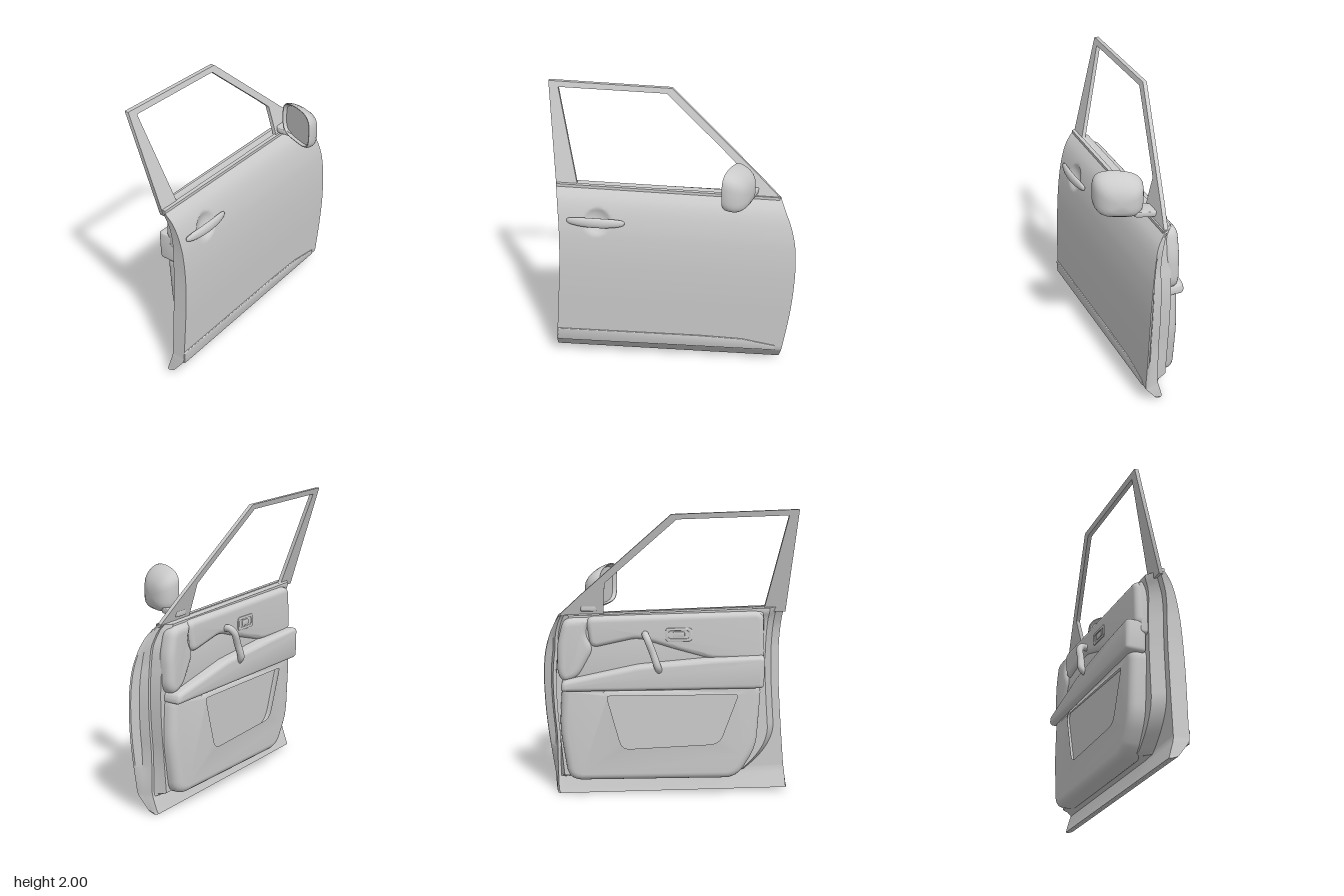
import * as THREE from 'three';
import { toCreasedNormals } from 'three/addons/utils/BufferGeometryUtils.js';

const grey = new THREE.MeshStandardMaterial({ color: 0xcccccc, side: THREE.DoubleSide });

function add(group, name, geometry, crease = 0.6) {
  const mesh = new THREE.Mesh(crease ? toCreasedNormals(geometry, crease) : geometry, grey);
  mesh.name = name;
  group.add(mesh);
  return mesh;
}

// Closed skin over equal-length rings, capped at both ends
function loft(rings) {
  const n = rings[0].length, pos = rings.flat(2), idx = [];
  for (let j = 0; j < rings.length - 1; j++) {
    for (let i = 0; i < n; i++) {
      const a = j * n + i, b = j * n + (i + 1) % n;
      idx.push(a, b, b + n, a, b + n, a + n);
    }
  }
  [0, rings.length - 1].forEach((j) => {
    const c = pos.length / 3;
    pos.push(...[0, 1, 2].map((k) => rings[j].reduce((s, p) => s + p[k], 0) / n));
    for (let i = 0; i < n; i++) {
      const a = j * n + i, b = j * n + (i + 1) % n;
      j ? idx.push(c, a, b) : idx.push(c, b, a);
    }
  });
  const g = new THREE.BufferGeometry();
  g.setAttribute('position', new THREE.Float32BufferAttribute(pos, 3));
  g.setIndex(idx);
  return g;
}

// Polygon with rounded corners
function rounded(pts, r, Type = THREE.Shape) {
  const s = new Type(), n = pts.length;
  pts.forEach((p, i) => {
    const P = new THREE.Vector2(...p);
    const toward = (q) => {
      const d = new THREE.Vector2(...q).sub(P);
      return P.clone().add(d.setLength(Math.min(r, d.length() * 0.45)));
    };
    const a = toward(pts[(i + n - 1) % n]), b = toward(pts[(i + 1) % n]);
    i ? s.lineTo(a.x, a.y) : s.moveTo(a.x, a.y);
    s.quadraticCurveTo(P.x, P.y, b.x, b.y);
  });
  s.closePath();
  return s;
}

// Bevelled slab between two depths, with an optional hole and z rule
function slab(pts, { r = 0.03, z0, z1, bevel = 0, hole, holeR = 0.06, warp }) {
  const shape = rounded(pts, r);
  if (hole) shape.holes.push(rounded(hole, holeR, THREE.Path));
  const g = new THREE.ExtrudeGeometry(shape, {
    depth: z1 - z0 - 2 * bevel, bevelEnabled: bevel > 0, bevelThickness: bevel,
    bevelSize: bevel, bevelOffset: -bevel, bevelSegments: 5, curveSegments: 6,
  });
  g.translate(0, 0, z0 + bevel);
  if (warp) {
    const p = g.attributes.position;
    for (let i = 0; i < p.count; i++) p.setZ(i, p.getZ(i) + warp(p.getX(i), p.getY(i)));
  }
  return g;
}

// Door section by height: y, outer z, rim z, inner z, rear x, front x
const SECTIONS = [
  [0.013, -0.04, -0.06, -0.06, -0.845, 0.765], [0.03, 0, -0.055, -0.055, -0.843, 0.772],
  [0.13, 0.077, -0.025, -0.03, -0.835, 0.785], [0.16, 0.083, -0.02, -0.1, -0.83, 0.79],
  [0.4, 0.088, -0.02, -0.1, -0.81, 0.825], [0.6, 0.09, -0.02, -0.1, -0.795, 0.845],
  [0.8, 0.085, -0.02, -0.1, -0.783, 0.853], [0.95, 0.073, -0.02, -0.1, -0.78, 0.847],
  [1.05, 0.058, -0.02, -0.1, -0.781, 0.832], [1.15, 0.033, -0.03, -0.1, -0.787, 0.803],
  [1.22, 0.004, -0.05, -0.11, -0.793, 0.772], [1.27, -0.032, -0.07, -0.13, -0.8, 0.75],
  [1.3, -0.06, -0.09, -0.13, -0.803, 0.735],
];

// Section between rows: straight along the sill, curved above it
function section(k, t) {
  const last = SECTIONS.length - 1;
  const b = SECTIONS[k], c = SECTIONS[Math.min(k + 1, last)];
  if (k < 3) return b.map((v, i) => v + (c[i] - v) * t);
  const a = SECTIONS[Math.max(k - 1, 3)], d = SECTIONS[Math.min(k + 2, last)];
  return b.map((v, i) => v + 0.5 * t * (c[i] - a[i]
    + t * (2 * a[i] - 5 * v + 4 * c[i] - d[i] + t * (3 * (v - c[i]) + d[i] - a[i]))));
}

function doorShell() {
  const rings = [], N = 100;
  SECTIONS.forEach((s, k) => {
    const next = SECTIONS[k + 1];
    const steps = next ? Math.ceil((next[0] - s[0]) / 0.016) : 1;
    for (let m = 0; m < steps; m++) {
      const [y, zo, zr, zi, xl, xr] = section(k, m / steps);
      const put = (x, z) => [x, y - (0.016 + 0.013 * y) * x, z];
      const ring = [];
      for (let i = 0; i <= N; i++) {
        const p = put(xl + (xr - xl) * i / N, zo);
        // finger scoop behind the outer handle
        const d = Math.hypot(p[0] + 0.515, p[1] - 1.095) / 0.095;
        if (d < 1) p[2] -= 0.038 * (1 - d * d);
        ring.push(p);
      }
      // the front edge is a thin lip ahead of the recessed hinge face
      const lip = 0.05 * THREE.MathUtils.smoothstep(y, 0.02, 0.5) * (1 - THREE.MathUtils.smoothstep(y, 1, 1.28));
      const mid = zo + (zr - zo) * 0.4;
      ring.push(put(xr - 0.004, zo + (zr - zo) * 0.12), put(xr - 0.004 - lip, mid));
      ring.push(put(xr - 0.02 - lip, zr), put(xr - 0.04 - lip, zr), put(xr - 0.075 - lip * 0.4, zi));
      // the inner step sweeps forward at the lower rear corner
      const inset = 0.11 + 0.25 * Math.max(0, 1 - (y - 0.13) / 0.35) ** 2;
      ring.push(put(xl + inset, zi), put(xl + inset - 0.05, zr), put(xl + 0.008, zr));
      rings.push(ring);
    }
  });
  return loft(rings);
}

function mirrorHousing() {
  const t = [0.37, -0.93], n = [0.93, 0.37];
  const soft = (v) => Math.sign(v) * Math.abs(v) ** 0.55;
  // forward depth and scale, from the recessed glass to the nose
  const profile = [[0.025, 0.01], [0.025, 0.86], [0, 0.93], [0, 0.97], [0.015, 1], [0.045, 0.98],
    [0.075, 0.92], [0.1, 0.81], [0.12, 0.65], [0.135, 0.42], [0.14, 0.02]];
  return loft(profile.map(([d, s]) => Array.from({ length: 48 }, (_, i) => {
    const a = i / 48 * Math.PI * 2, u = soft(Math.cos(a)) * 0.165 * s + 0.18 * d;
    // the roof drops slightly toward the door
    const h = soft(Math.sin(a)) * 0.14 * s, drop = h > 0 ? 1 - Math.max(0, u) : 1;
    return [0.397 + t[0] * u + n[0] * d, 1.453 - 0.33 * d + h * drop, 0.125 + t[1] * u + n[1] * d];
  })));
}

export function createModel() {
  const door = new THREE.Group();
  door.name = 'carDoor';

  // Shell, window frame and outer trim
  add(door, 'doorShell', doorShell());
  add(door, 'windowFrame', slab(
    [[-0.803, 1.29], [-0.855, 2], [-0.02, 1.97], [0.4, 1.585], [0.58, 1.42], [0.74, 1.265]],
    {
      r: 0.004, z0: -0.014, z1: 0.014, holeR: 0.008,
      hole: [[-0.66, 1.322], [-0.79, 1.96], [-0.055, 1.936], [0.33, 1.585], [0.42, 1.5], [0.43, 1.285]],
      warp: (x, y) => -0.075 - (y - 1.3) * 0.275,
    }));
  const belt = add(door, 'beltMoulding', new THREE.BoxGeometry(1.53, 0.026, 0.028), 0);
  belt.position.set(-0.037, 1.294, -0.06);
  belt.rotation.z = -0.033;
  add(door, 'sideMoulding', slab(
    [[-0.828, 0.138], [-0.825, 0.235], [0.2, 0.222], [0.5, 0.208], [0.74, 0.16], [0.74, 0.12]],
    { r: 0.01, z0: 0.06, z1: 0.093, bevel: 0.006, warp: (x, y) => (y - 0.22) * 0.07 }));

  // Outer handle: flattened bar bowed away from the skin
  const grip = new THREE.SphereGeometry(1, 32, 20);
  const gp = grip.attributes.position;
  for (let i = 0; i < gp.count; i++) {
    const x = gp.getX(i);
    const fat = Math.abs(x) < 0.999 ? (1 - x * x) ** -0.2 : 1;
    gp.setXYZ(i, -0.525 + x * 0.2, 1.1 - x * 0.006 + gp.getY(i) * 0.036 * fat,
      0.054 + 0.02 * (1 - x * x) + gp.getZ(i) * 0.021 * fat);
  }
  grip.computeVertexNormals();
  add(door, 'outerHandle', grip, 0);

  // Wing mirror
  add(door, 'mirrorHousing', mirrorHousing(), 0.7);
  add(door, 'mirrorArm', slab([[0.44, -0.05], [0.45, 0.06], [0.54, 0.06], [0.59, -0.1], [0.48, -0.1]],
    { r: 0.02, z0: -0.02, z1: 0.02, bevel: 0.008 }).rotateX(Math.PI / 2).translate(0, 1.322, 0));

  // Lower inner trim with map pocket, its face falling away at the front
  const pocket = [[0.48, 0.79], [0.35, 0.31], [-0.39, 0.345], [-0.55, 0.79]];
  add(door, 'lowerTrim', slab(
    [[0.715, 0.83], [0.735, 0.5], [0.68, 0.13], [-0.48, 0.14], [-0.61, 0.36], [-0.64, 0.83]],
    {
      r: 0.09, z0: -0.205, z1: -0.04, bevel: 0.05, hole: pocket, holeR: 0.1,
      warp: (x) => Math.max(0, x - 0.47) * 0.12,
    }), 0.7);
  add(door, 'pocketFloor', slab(
    [[0.53, 0.82], [0.4, 0.26], [-0.44, 0.29], [-0.59, 0.82]],
    { z0: -0.155, z1: -0.1, warp: (x) => -0.03 * x }));

  // Upper inner trim: flat panel, padded roll and front end pad
  add(door, 'upperTrim', slab(
    [[0.68, 0.84], [0.68, 1.265], [-0.65, 1.3], [-0.66, 0.92]],
    { r: 0.03, z0: -0.155, z1: -0.07, bevel: 0.025 }), 0.7);
  add(door, 'paddedRoll', slab(
    [[0.52, 1.06], [0.55, 1.275], [-0.645, 1.305], [-0.66, 0.97], [-0.3, 0.98], [-0.05, 1.05], [0.2, 1.13]],
    { r: 0.06, z0: -0.18, z1: -0.075, bevel: 0.035 }), 0.7);
  add(door, 'frontPad', slab(
    [[0.7, 0.82], [0.6, 0.86], [0.49, 1.06], [0.55, 1.16], [0.51, 1.27], [0.7, 1.262], [0.745, 1.08], [0.745, 0.88]],
    { r: 0.06, z0: -0.175, z1: -0.06, bevel: 0.045 }), 0.7);

  // Armrest, deeper toward the rear
  add(door, 'armrest', slab(
    [[0.725, 0.77], [0.715, 0.84], [0.2, 0.95], [-0.3, 0.995], [-0.655, 1.01], [-0.65, 0.79]],
    { r: 0.03, z0: -0.235, z1: -0.09, bevel: 0.03, warp: (x) => 0.02 * x }), 0.7);

  // Pull handle
  const path = new THREE.CatmullRomCurve3([[0.15, 1.15, -0.15], [0.15, 1.16, -0.205], [0.135, 1.13, -0.235],
    [0.1, 1.04, -0.24], [0.07, 0.95, -0.245], [0.06, 0.92, -0.22]].map((p) => new THREE.Vector3(...p)));
  add(door, 'pullHandle', new THREE.TubeGeometry(path, 32, 0.024, 14), 0);
  [0, 1].forEach((u) => {
    add(door, 'pullHandleEnd', new THREE.SphereGeometry(0.024, 14, 10), 0).position.copy(path.getPoint(u));
  });

  // Inner release: bezel and lever
  const rect = (w, h) => [[-w, -h], [w, -h], [w, h], [-w, h]].map(([x, y]) => [x - 0.075, y + 1.155]);
  add(door, 'releaseBezel', slab(rect(0.09, 0.046),
    { r: 0.025, z0: -0.186, z1: -0.16, bevel: 0.004, hole: rect(0.068, 0.027), holeR: 0.015 }));
  add(door, 'releaseLever', slab(rect(0.04, 0.02), { r: 0.012, z0: -0.186, z1: -0.165, bevel: 0.004 }));

  return door;
}
